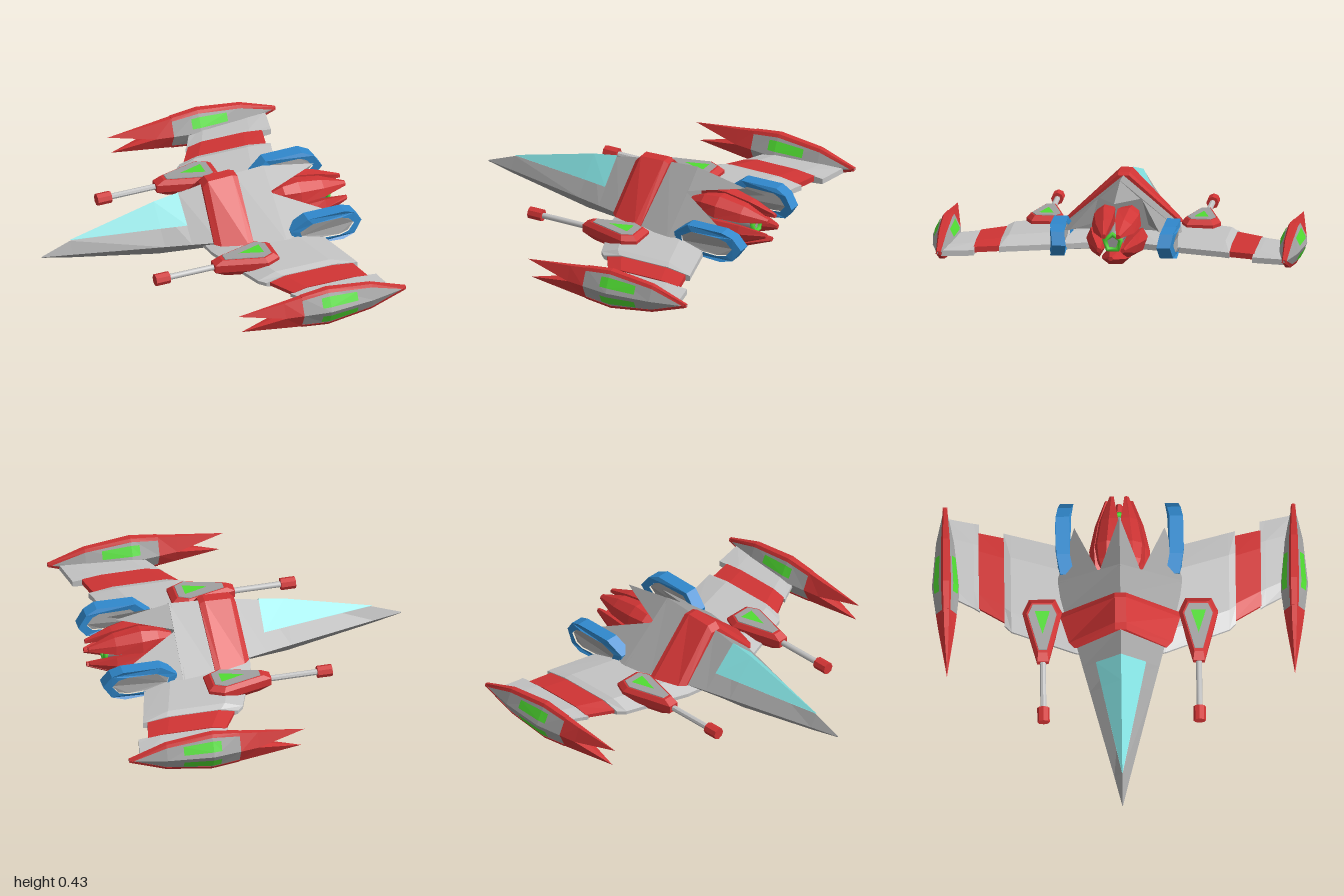
import * as THREE from 'three';

const mat = (name, color, side = THREE.FrontSide) => {
  const m = new THREE.MeshStandardMaterial({ color, side });
  m.name = name;
  return m;
};

// Flat-shaded geometry from a list of triangles
function fromTriangles(tris) {
  const g = new THREE.BufferGeometry();
  g.setAttribute('position', new THREE.Float32BufferAttribute(tris.flat(2), 3));
  g.computeVertexNormals();
  return g;
}

// Closed skin through equal-length rings of [x, y, z]; winding is set from the enclosed volume
function loft(rings) {
  const tris = [], n = rings[0].length;
  for (let i = 0; i < rings.length - 1; i++) {
    for (let j = 0; j < n; j++) {
      const k = (j + 1) % n, a = rings[i], b = rings[i + 1];
      tris.push([a[j], b[j], b[k]], [a[j], b[k], a[k]]);
    }
  }
  const first = rings[0], last = rings[rings.length - 1];
  for (let j = 1; j < n - 1; j++) {
    tris.push([first[0], first[j], first[j + 1]], [last[0], last[j + 1], last[j]]);
  }
  const o = new THREE.Vector3(...first[0]);
  const v = (p) => new THREE.Vector3(...p).sub(o);
  const volume = tris.reduce((s, [a, b, c]) => s + v(a).dot(v(b).cross(v(c))), 0);
  return fromTriangles(volume < 0 ? tris.map(([a, b, c]) => [a, c, b]) : tris);
}

const spike = (base, tip) => loft([base, base.map(() => tip)]);

// Open strip between two rails
function strip(a, b) {
  const tris = [];
  for (let i = 0; i < a.length - 1; i++) tris.push([a[i], a[i + 1], b[i + 1]], [a[i], b[i + 1], b[i]]);
  return fromTriangles(tris);
}

// Copy reflected in z with its winding restored
function mirrored(geo) {
  const g = geo.index ? geo.toNonIndexed() : geo.clone();
  const p = g.attributes.position, out = [];
  for (let i = 0; i < p.count; i += 3) {
    out.push([0, 2, 1].map((k) => [p.getX(i + k), p.getY(i + k), -p.getZ(i + k)]));
  }
  return fromTriangles(out);
}

export function createModel() {
  const root = new THREE.Group();
  root.name = 'starfighter';
  const grey = mat('hull grey', 0xa0a0a0), light = mat('wing grey', 0xc4c4c4);
  const red = mat('red trim', 0xd03434), blue = mat('blue trim', 0x3088cc);
  const green = mat('green glow', 0x50dc32, THREE.DoubleSide);
  const cyan = mat('canopy glass', 0x80dcdc, THREE.DoubleSide);

  const add = (name, geo, material) => {
    const m = new THREE.Mesh(geo, material);
    m.name = name;
    root.add(m);
  };
  const pair = (name, geo, material) => {
    add(name + 'Left', geo, material);
    add(name + 'Right', mirrored(geo), material);
  };

  // Fuselage rows: x, ridge height, half width, edge height, belly height
  const hull = [
    [-0.86, 0.163, 0.002, 0.16, 0.157], [-0.7, 0.225, 0.042, 0.162, 0.13],
    [-0.22, 0.35, 0.167, 0.168, 0.065], [-0.08, 0.373, 0.204, 0.17, 0.06],
    [0.06, 0.4, 0.24, 0.17, 0.055], [0.24, 0.42, 0.3, 0.165, 0.055], [0.41, 0.43, 0.34, 0.15, 0.065],
  ];
  add('fuselage', loft(hull.map(([x, t, w, e, b]) =>
    [[x, t, 0], [x, e, w], [x, b, w * 0.4], [x, b, -w * 0.4], [x, e, -w]])), grey);

  // Pointed tail fins
  add('tailSpike', spike([[0.4, 0.43, 0], [0.39, 0.33, 0.115], [0.39, 0.32, 0], [0.39, 0.33, -0.115]], [0.7, 0.37, 0]), grey);
  pair('sideSpike', spike([[0.39, 0.335, 0.11], [0.4, 0.15, 0.34], [0.4, 0.19, 0.15]], [0.69, 0.22, 0.24]), grey);

  // Raised belt over the hull
  add('belt', loft([[0.05, 0.395, 0.235], [0.08, 0.427, 0.265], [0.22, 0.432, 0.308], [0.25, 0.42, 0.3]].map(
    ([x, t, w]) => [[x, t, 0.03], [x - 0.02, 0.168, w + 0.01], [x - 0.02, 0.168, -w - 0.01], [x, t, -0.03]])), red);

  // Canopy glass
  pair('canopy', strip(
    [[-0.7, 0.231, 0], [-0.22, 0.356, 0], [-0.08, 0.379, 0]],
    [[-0.7, 0.23, 0.002], [-0.22, 0.247, 0.105], [-0.08, 0.25, 0.134]]), cyan);

  // Engine: core, glowing ring and five petals
  const ey = 0.175;
  const core = new THREE.CylinderGeometry(0.035, 0.06, 0.4, 10).rotateZ(-Math.PI / 2).translate(0.56, ey, 0);
  add('engineCore', core, grey);
  add('engineRing', new THREE.TorusGeometry(0.045, 0.014, 6, 5).rotateZ(Math.PI / 2)
    .rotateY(Math.PI / 2).translate(0.765, ey, 0), green);
  for (let i = 0; i < 5; i++) {
    const a = -Math.PI / 2 + i * Math.PI * 0.4;
    const at = (x, r, t) => [x, ey + r * Math.sin(a) + t * Math.cos(a), r * Math.cos(a) - t * Math.sin(a)];
    // x, inner radius, outer radius, half width
    const rows = [[0.4, 0.08, 0.12, 0.025], [0.49, 0.06, 0.158, 0.06], [0.58, 0.055, 0.16, 0.078],
      [0.72, 0.055, 0.128, 0.062], [0.86, 0.055, 0.078, 0.015]];
    add('enginePetal' + (i + 1), loft(rows.map(([x, r0, r1, t]) => {
      const m = r0 + (r1 - r0) * 0.6;
      return [at(x, r1, t * 0.4), at(x, m, t), at(x, r0, t * 0.35), at(x, r0, -t * 0.35), at(x, m, -t), at(x, r1, -t * 0.4)];
    })), red);
  }

  // Wing panels, rows: z, leading x, trailing x, bottom, top
  const wing = (rows) => loft(rows.map(([z, l, t, b, h]) => {
    const c = t - l, m = (b + h) / 2;
    return [[l, m - 0.01, z], [l, m + 0.01, z], [l + c * 0.18, h, z], [l + c * 0.75, h, z],
      [t, m + 0.015, z], [t, m - 0.015, z], [l + c * 0.75, b, z], [l + c * 0.18, b, z]];
  }));
  pair('innerWing', wing([[0.12, 0, 0.56, 0.06, 0.165], [0.24, 0.02, 0.6, 0.06, 0.16], [0.58, 0.145, 0.69, 0.062, 0.152], [0.615, 0.18, 0.7, 0.07, 0.14]]), light);
  pair('wingStripe', wing([[0.6, 0.19, 0.67, 0.075, 0.137], [0.75, 0.28, 0.705, 0.075, 0.13]]), red);
  pair('outerWing', wing([[0.745, 0.265, 0.755, 0.07, 0.125], [0.775, 0.285, 0.76, 0.068, 0.125], [0.92, 0.36, 0.79, 0.075, 0.12]]), light);

  // Wingtip pods, rows: x, top, half width, bottom, spine half width
  const pz = 0.925, mid = 0.112;
  const pod = [[0.15, 0.19, 0.042, 0.035, 0.012], [0.25, 0.203, 0.056, 0.022, 0.014], [0.4, 0.22, 0.075, 0.005, 0.018],
    [0.65, 0.19, 0.05, 0.04, 0.014], [0.85, 0.122, 0.005, 0.108, 0.003]];
  const podRing = ([x, t, w, b, s]) =>
    [[x, t, pz + s], [x, mid, pz + w], [x, b, pz + s], [x, b, pz - s], [x, mid, pz - w], [x, t, pz - s]];
  pair('podNose', loft(pod.slice(0, 2).map(podRing)), red);
  pair('podBody', loft(pod.slice(1).map(podRing)), grey);
  const prong = (edge, inner, tip) => spike(
    [[0.15, edge, pz + 0.012], [0.15, mid, pz + 0.042], [0.15, inner, pz], [0.15, mid, pz - 0.042], [0.15, edge, pz - 0.012]], tip);
  pair('upperProng', prong(0.19, 0.105, [-0.11, 0.163, pz]), red);
  pair('lowerProng', prong(0.035, 0.119, [-0.09, 0.062, pz]), red);
  for (const [name, k, d] of [['topSpine', 1, 1], ['bottomSpine', 3, -1]]) {
    pair(name, loft(pod.slice(1).map((r) => {
      const [x, y, s] = [r[0], r[k], r[4] + 0.006];
      return [[x, y + d * 0.003, pz + s * 0.7], [x, y - d * 0.014, pz + s + 0.003],
        [x, y - d * 0.014, pz - s - 0.003], [x, y + d * 0.003, pz - s * 0.7]];
    })), red);
  }
  // Glowing panels on the four sloped faces of each pod
  const lerpRow = (x) => {
    const i = pod.findIndex((r) => r[0] >= x), a = pod[i - 1], b = pod[i];
    return a.map((v, k) => v + (b[k] - v) * (x - a[0]) / (b[0] - a[0]));
  };
  for (const side of [1, -1]) {
    for (const k of [1, 3]) {
      const rail = (f) => [0.355, 0.4, 0.56].map((x) => {
        const r = lerpRow(x);
        return [x, mid + (r[k] - mid) * f + (k === 1 ? 0.003 : -0.003), pz + side * (r[2] + (r[4] - r[2]) * f + 0.004)];
      });
      pair((k === 1 ? 'upper' : 'lower') + (side > 0 ? 'Outer' : 'Inner') + 'Glow', strip(rail(0.22), rail(0.7)), green);
    }
  }

  // Wing cannons
  const gz = 0.415;
  const outline = [[-0.045, -0.03], [0.23, -0.105], [0.305, -0.07], [0.305, 0.07], [0.23, 0.105], [-0.045, 0.03]];
  const layer = (y, s) => outline.map(([x, z]) => [0.17 + (x - 0.17) * s, y, gz + z * s]);
  pair('cannonHousing', loft([layer(0.095, 0.7), layer(0.13, 1), layer(0.172, 1), layer(0.195, 0.8)]), red);
  pair('cannonCover', loft([layer(0.19, 0.74), layer(0.199, 0.72)]), grey);
  pair('cannonGlow', fromTriangles([[[0.1, 0.202, gz], [0.23, 0.202, gz + 0.04], [0.23, 0.202, gz - 0.04]]]), green);
  const rod = (r, len, x) => new THREE.CylinderGeometry(r, r, len, 8).toNonIndexed().rotateZ(Math.PI / 2).translate(x, 0.15, gz);
  const barrel = rod(0.016, 0.3, -0.17), muzzle = rod(0.033, 0.08, -0.34);
  muzzle.computeVertexNormals();
  pair('cannonBarrel', barrel, light);
  pair('cannonMuzzle', muzzle, red);

  // Side thrusters: bowed blue rims around grey plates
  const rim = [[0.44, 0.19], [0.53, 0.26], [0.74, 0.262], [0.8, 0.235], [0.845, 0.17], [0.8, 0.105], [0.73, 0.09], [0.53, 0.1], [0.45, 0.14]]
    .map(([x, y]) => new THREE.Vector2(x, y));
  const inner = rim.map((p) => new THREE.Vector2(0.645 + (p.x - 0.645) * 0.76, 0.176 + (p.y - 0.176) * 0.62));
  const ringShape = new THREE.Shape(rim);
  ringShape.holes.push(new THREE.Path(inner));
  const bowed = (shape, depth) => {
    const g = new THREE.ExtrudeGeometry(shape, { depth, bevelEnabled: false }).translate(0, 0, 0.31 - depth / 2);
    const p = g.attributes.position;
    for (let i = 0; i < p.count; i++) p.setZ(i, p.getZ(i) - 0.75 * (p.getX(i) - 0.64) ** 2);
    g.computeVertexNormals();
    return g;
  };
  pair('thrusterRim', bowed(ringShape, 0.072), blue);
  pair('thrusterPlate', bowed(new THREE.Shape(inner), 0.052), grey);

  return root;
}
